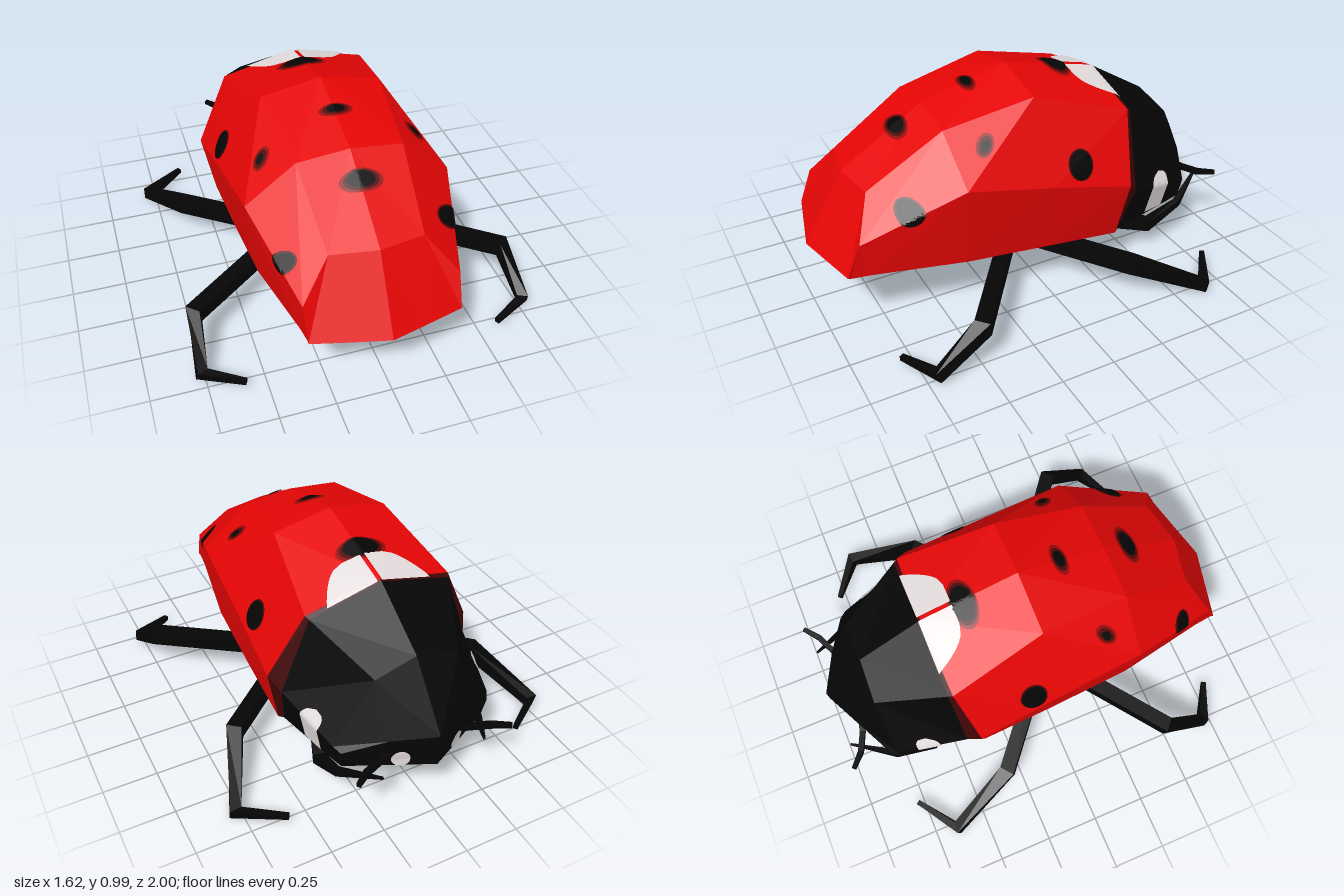
import * as THREE from 'three';

const mat = (name, color) => {
  const m = new THREE.MeshStandardMaterial({ color });
  m.name = name;
  return m;
};

// Skin rings of points; keep(j) selects which strips around the ring are built
function loft(rings, keep = () => true) {
  const pos = [];
  for (let i = 0; i + 1 < rings.length; i++) {
    const n = rings[i].length;
    for (let j = 0; j < n; j++) {
      if (!keep(j)) continue;
      const k = (j + 1) % n;
      const a = rings[i][j], b = rings[i][k], c = rings[i + 1][j], d = rings[i + 1][k];
      // diagonals mirror between the two halves
      if (j < n / 2) pos.push(...a, ...b, ...c, ...b, ...d, ...c);
      else pos.push(...a, ...b, ...d, ...a, ...d, ...c);
    }
  }
  const g = new THREE.BufferGeometry();
  g.setAttribute('position', new THREE.Float32BufferAttribute(pos, 3));
  g.computeVertexNormals();
  return g;
}

// Half section (crown to belly) mirrored into a full ring
const SHIFT = -0.008;
const mirror = half => [
  ...half.map(([x, y, z]) => [x + SHIFT, y, z]),
  ...half.slice(1, -1).reverse().map(([x, y, z]) => [SHIFT - x, y, z]),
];

// Four-sided tapered limb through a few joints
function limb(points, radii) {
  const P = points.map(p => new THREE.Vector3(...p));
  const rings = P.map((p, i) => {
    const t = P[Math.min(i + 1, P.length - 1)].clone().sub(P[Math.max(i - 1, 0)]).normalize();
    const r = t.clone().cross(new THREE.Vector3(0, 1, 0)).normalize();
    const u = r.clone().cross(t);
    return [[-1, 1], [1, 1], [1, -1], [-1, -1]].map(([a, b]) =>
      p.clone().addScaledVector(r, a * radii[i] * 0.8).addScaledVector(u, b * radii[i] * 0.8).toArray());
  });
  const cap = p => Array(4).fill(p.toArray());
  return loft([cap(P[0]), ...rings, cap(P[P.length - 1])]);
}

export function createModel() {
  const model = new THREE.Group();
  const red = mat('shell red', 0xe60505), black = mat('body black', 0x050505);
  const white = mat('marking white', 0xe6dede), rim = mat('spot rim dark red', 0x500404);
  const halo = mat('spot halo red', 0x960808), dark = mat('belly maroon', 0x420505);
  for (const m of [red, black, dark]) m.flatShading = true;

  const add = (name, geo, material) => {
    const mesh = new THREE.Mesh(geo, material);
    mesh.name = name;
    model.add(mesh);
    return mesh;
  };

  // Body sections from tail to head: crown, shoulder, side, lower edge, under, belly
  const tailEnd = Array(10).fill([SHIFT, .307, .96]);
  const tail = mirror([[0, .31, 1], [.17, .312, .96], [.34, .316, .92], [.335, .31, .91], [.16, .305, .95], [0, .303, .985]]);
  const rear = mirror([[0, .64, .81], [.21, .635, .77], [.345, .47, .86], [.345, .305, .82], [.2, .29, .8], [0, .285, .8]]);
  const back = mirror([[0, .88, .42], [.24, .855, .42], [.465, .67, .41], [.42, .28, .4], [.26, .25, .4], [0, .24, .4]]);
  const mid = mirror([[0, .99, 0], [.28, .935, 0], [.484, .583, 0], [.44, .245, 0], [.27, .215, 0], [0, .205, 0]]);
  const collar = mirror([[0, .88, -.46], [.35, .8, -.45], [.505, .49, -.39], [.45, .208, -.36], [.27, .195, -.36], [0, .19, -.36]]);
  const neck = mirror([[0, .875, -.47], [.34, .79, -.47], [.467, .43, -.45], [.43, .208, -.38], [.25, .195, -.38], [0, .19, -.38]]);
  const brow = mirror([[0, .69, -.77], [.2, .645, -.78], [.385, .35, -.77], [.37, .235, -.72], [.2, .22, -.74], [0, .22, -.75]]);
  const face = mirror([[0, .42, -.985], [.19, .4, -.895], [.365, .33, -.805], [.355, .24, -.79], [.19, .25, -.88], [0, .26, -.98]]);
  const tip = Array(10).fill([SHIFT, .33, -.985]);

  const under = j => j === 4 || j === 5;
  const over = j => !under(j);
  const skin = [
    add('shell', loft([tail, rear, back, mid, collar], over), red),
    add('shellRearUnderside', loft([tail, rear], under), red),
    add('tailEdge', loft([tailEnd, tail]), red),
    add('belly', loft([rear, back, mid], under), dark),
    add('chest', loft([mid, collar, neck], under), black),
    add('shellFrontEdge', loft([collar, neck], over), dark),
    add('head', loft([neck, brow, face, tip]), black),
  ];

  // Thin painted patch: flat geometry projected onto the skin along dir
  const caster = new THREE.Raycaster();
  function patch(name, geo, material, centre, dir, up, lift) {
    const c = new THREE.Vector3(...centre), d = new THREE.Vector3(...dir), v = new THREE.Vector3(...up);
    const u = d.clone().cross(v), p = geo.attributes.position;
    let last = c.clone();
    for (let i = 0; i < p.count; i++) {
      const o = c.clone().addScaledVector(u, p.getX(i)).addScaledVector(v, p.getY(i)).addScaledVector(d, -2);
      caster.set(o, d);
      const hit = caster.intersectObjects(skin)[0];
      if (hit) last = hit.point;
      const q = last.clone().addScaledVector(d, -lift);
      p.setXYZ(i, q.x, q.y, q.z);
    }
    geo.computeVertexNormals();
    add(name, geo, material);
  }
  const oval = (a, b, turn = 0) => new THREE.RingGeometry(0.001, 1, 24, 5).scale(a, b, 1).rotateZ(turn);
  // Layers run from the outermost ring to the black centre
  function spot(centre, dir, up, turn, layers) {
    layers.forEach(([name, material, a, b], i) =>
      patch(name, oval(a, b, turn), material, centre, dir, up, 0.003 + i * 0.003));
  }
  const DOWN = [0, -1, 0], FRONT = [0, 0, -1], UP = [0, 1, 0];

  // Spots along the back: centre z, then half sizes of the black centre
  for (const [x, z, a, b] of [[-.02, -.265, .085, .05], [0, .2, .042, .022], [0, .545, .062, .032]])
    spot([x, 0, z], DOWN, FRONT, 0, [
      ['spotHalo', halo, a + .036, b + .014],
      ['spotRim', rim, a + .018, b + .007],
      ['spot', black, a, b],
    ]);

  // Spots and cheek markings on both sides
  for (const s of [1, -1]) {
    const dir = [-s, 0, 0];
    spot([0, .64, s > 0 ? -.15 : -.11], dir, UP, 0,
      [['spotRim', rim, .064, .065], ['spot', black, .058, .06]]);
    const [y, z, r] = s > 0 ? [.585, .64, .048] : [.56, .68, .04];
    spot([0, y, z], dir, UP, s * .5,
      [['spotRim', rim, r + .01, r + .004], ['spot', black, r, r]]);
    spot([0, .803, .275], dir, UP, s * .62,
      [['spotHalo', halo, .052, .027], ['spotRim', rim, .04, .02], ['spot', black, .024, .012]]);
    patch('faceMarking', oval(.036, .045), white, [s * .135, .3, 0], [0, 0, 1], UP, 0.008);

    // Cheek marking with a flat foot and a rounded top
    const cheek = new THREE.PlaneGeometry(1, 1, 12, 16), cp = cheek.attributes.position;
    for (let i = 0; i < cp.count; i++) {
      const t = cp.getY(i) + .5;
      const width = .11 * Math.sqrt(1 - Math.max(0, (t - .75) / .25) ** 2);
      cp.setXYZ(i, cp.getX(i) * width - s * .02 * (1 - t), .24 + t * .205, 0);
    }
    patch('cheekMarking', cheek, white, [0, 0, -.63], dir, UP, 0.006);

    // White collar marking, one half each side of the seam
    const half = new THREE.PlaneGeometry(1, 1, 12, 12), p = half.attributes.position;
    for (let i = 0; i < p.count; i++) {
      const t = p.getY(i) + .5;
      const width = .1 + .15 * Math.sqrt(t);
      const x = .01 + (p.getX(i) + .5) * (width - .01);
      p.setXYZ(i, s > 0 ? x : x - width - .01, .31 + t * .16, 0);
    }
    patch('collarMarking', half, white, [0, 0, 0], DOWN, FRONT, 0.009);

    // Legs and antennae
    const m = pts => pts.map(([x, y, z]) => [s * x, y, z]);
    add('frontLeg', limb(m([[.18, .22, -.2], [.36, .13, -.61], [.36, .205, -.78], [.25, .29, -.97]]), [.05, .035, .02, .006]), black);
    add('middleLeg', limb(m([[.22, .2, .03], [.64, .17, -.32], [.78, .03, -.645], [.59, .045, -.78]]), [.045, .045, .034, .014]), black);
    add('rearLeg', limb(m([[.2, .21, .08], [.745, .195, .49], [.765, .045, .705], [.59, .04, .8]]), [.045, .045, .032, .014]), black);
    add('antenna', limb(m([[.1, .32, -.87], [.22, .31, -.895], [.31, .315, -.935], [.375, .33, -.99]]), [.014, .016, .016, .012]), black);
  }
  return model;
}
